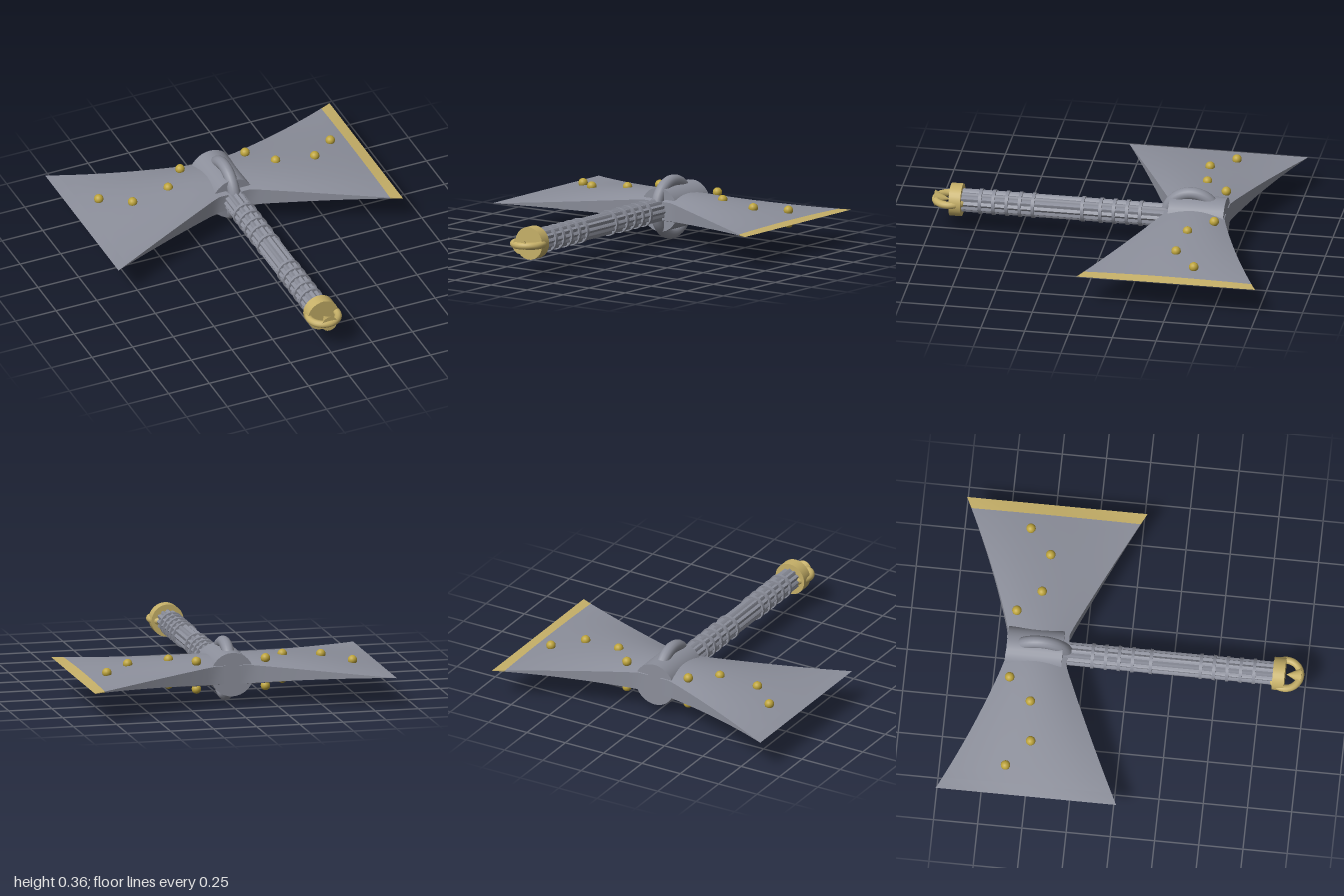
import * as THREE from 'three';
import { toCreasedNormals } from 'three/addons/utils/BufferGeometryUtils.js';

const steel = new THREE.MeshStandardMaterial({ color: 0x8c8f9b });
steel.name = 'steel grey';
const gold = new THREE.MeshStandardMaterial({ color: 0xc6b068 });
gold.name = 'pale gold';
const stud = new THREE.MeshStandardMaterial({ color: 0xbda43c });
stud.name = 'stud gold';

const ROOT = 0.1, TIP = 0.875;

// Lens-like blade cross-section at distance x from the axis, as a closed ring
function bladeSection(x, n = 8) {
  const t = THREE.MathUtils.clamp((x - ROOT) / (TIP - ROOT), 0, 1);
  const bow = 4 * t * (1 - t);
  const back = -0.69 - 0.31 * t + 0.018 * bow;
  const front = -0.34 + 0.36 * t - 0.006 * bow;
  const mid = 0.082 * (1 - t ** 1.5) + 0.0005;
  const edge = 0.052 * (1 - t) ** 1.2 + 0.0005;
  const ring = [];
  for (const side of [1, -1]) {
    for (let i = 0; i <= n; i++) {
      const v = side * (2 * i / n - 1);
      const half = edge + (mid - edge) * (1 - v * v);
      ring.push([x, side * half, (back + front) / 2 + v * (front - back) / 2]);
    }
  }
  return ring;
}

// Skin between blade sections from x0 to x1
function bladeLoft(x0, x1, steps) {
  const positions = [], index = [];
  let m = 0;
  for (let i = 0; i <= steps; i++) {
    const ring = bladeSection(x0 + (x1 - x0) * i / steps);
    m = ring.length;
    positions.push(...ring.flat());
  }
  for (let i = 0; i < steps; i++) {
    for (let j = 0; j < m; j++) {
      const a = i * m + j, d = i * m + (j + 1) % m, b = a + m, c = d + m;
      index.push(a, d, b, d, c, b);
    }
  }
  const g = new THREE.BufferGeometry();
  g.setAttribute('position', new THREE.Float32BufferAttribute(positions, 3));
  g.setIndex(index);
  return toCreasedNormals(g, 0.45);
}

// Cylinder lying along z between two positions
function rod(radius, z0, z1, segments = 32) {
  return new THREE.CylinderGeometry(radius, radius, z1 - z0, segments)
    .rotateX(Math.PI / 2).translate(0, 0, (z0 + z1) / 2);
}

export function createModel() {
  const model = new THREE.Group();
  model.name = 'doubleAxe';
  const axe = new THREE.Group();
  axe.name = 'axe';
  axe.position.y = 0.185;
  model.add(axe);

  const add = (name, geometry, material, parent = axe) => {
    const mesh = new THREE.Mesh(geometry, material);
    mesh.name = name;
    parent.add(mesh);
    return mesh;
  };

  // Head socket with its upright ring
  add('headSocket', rod(0.125, -0.685, -0.368), steel);
  const ring = add('headRing', new THREE.TorusGeometry(0.147, 0.035, 14, 48), steel);
  ring.rotation.y = Math.PI / 2;
  ring.position.z = -0.49;

  // Blades: the left one carries a gold cutting edge
  const GILT = 0.81;
  const body = bladeLoft(0.04, GILT, 14), edge = bladeLoft(GILT, TIP, 2);
  const studs = [[0.2, 0.079, -0.65], [0.33, 0.071, -0.52], [0.56, 0.053, -0.495], [0.712, 0.036, -0.622]];
  const studGeometry = new THREE.SphereGeometry(0.027, 16, 12);
  for (const side of [1, -1]) {
    const blade = new THREE.Group();
    blade.name = side > 0 ? 'leftBlade' : 'rightBlade';
    blade.rotation.z = side > 0 ? 0 : Math.PI;
    axe.add(blade);
    add('bladeBody', body, steel, blade);
    add('cuttingEdge', edge, side > 0 ? gold : steel, blade);
    for (const [x, y, z] of studs) {
      for (const face of [1, -1]) {
        add('bladeStud', studGeometry, stud, blade).position.set(x, face * y, z);
      }
    }
  }

  // Fluted handle
  const flutes = [];
  for (let i = 0; i < 72; i++) {
    const a = i / 72 * Math.PI * 2, r = 0.061 + 0.005 * Math.cos(12 * a);
    flutes.push(new THREE.Vector2(r * Math.cos(a), r * Math.sin(a)));
  }
  const grip = new THREE.ExtrudeGeometry(new THREE.Shape(flutes), { depth: 1.21, bevelEnabled: false });
  add('handle', toCreasedNormals(grip.translate(0, 0, -0.38), 0.6), steel);

  // Two sets of grip bands
  for (const z of [-0.2, -0.125, -0.05, 0.027, 0.13, 0.412, 0.487, 0.562, 0.638, 0.714]) {
    add('gripBand', rod(0.072, z - 0.009, z + 0.009, 24), steel);
  }

  // Pommel: collar, flat ring and inward-pointing spike
  add('pommelCollar', rod(0.093, 0.82, 0.887), gold);
  const pommelRing = add('pommelRing', new THREE.TorusGeometry(0.084, 0.021, 12, 40), gold);
  pommelRing.rotation.x = Math.PI / 2;
  pommelRing.position.z = 0.89;
  const spike = new THREE.ConeGeometry(0.046, 0.085, 20).rotateX(-Math.PI / 2);
  add('pommelSpike', spike, gold).position.z = 0.936;

  return model;
}
